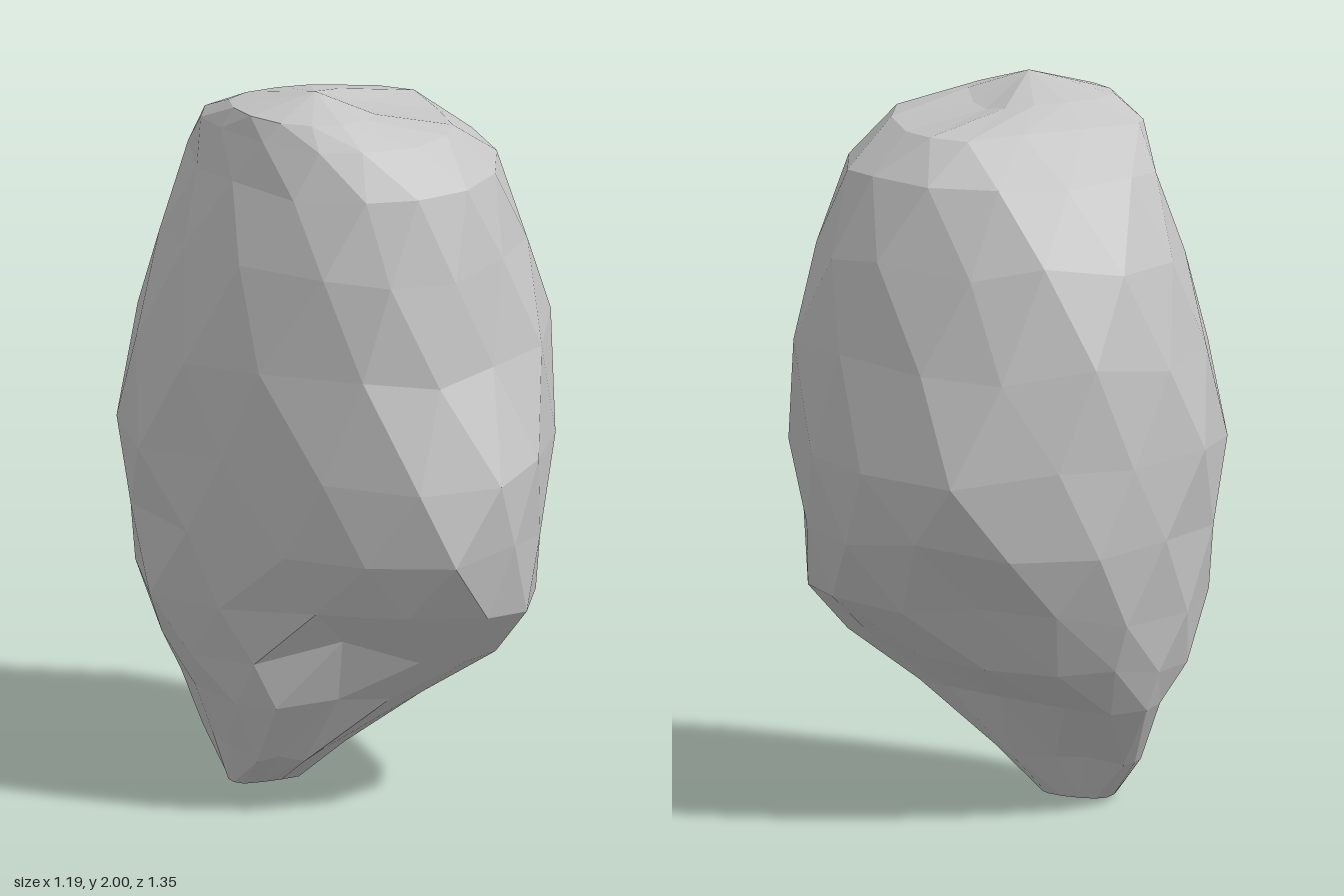
import * as THREE from 'three';

// cross-sections from foot to crown: height, then the reach from the axis
// towards +x, +x+z, +z, -x+z, -x, -x-z, -z, +x-z
const RINGS = [
  [0.01, -0.11, -0.12, -0.03, 0.19, 0.32, 0.33, 0.24, 0.03],
  [0.13, 0.01, 0.02, 0.17, 0.32, 0.36, 0.42, 0.34, 0.10],
  [0.30, 0.14, 0.27, 0.30, 0.41, 0.43, 0.51, 0.50, 0.25],
  [0.42, 0.29, 0.46, 0.43, 0.45, 0.49, 0.57, 0.56, 0.43],
  [0.58, 0.49, 0.56, 0.60, 0.49, 0.56, 0.61, 0.62, 0.57],
  [0.78, 0.56, 0.58, 0.68, 0.53, 0.58, 0.64, 0.67, 0.67],
  [1.00, 0.59, 0.60, 0.685, 0.54, 0.595, 0.67, 0.67, 0.68],
  [1.28, 0.585, 0.57, 0.60, 0.54, 0.565, 0.63, 0.665, 0.61],
  [1.55, 0.53, 0.49, 0.56, 0.51, 0.48, 0.57, 0.595, 0.55],
  [1.77, 0.43, 0.43, 0.50, 0.44, 0.41, 0.48, 0.47, 0.47],
  [1.89, 0.28, 0.32, 0.37, 0.38, 0.37, 0.41, 0.28, 0.35],
  [1.95, 0.04, 0.13, 0.26, 0.33, 0.34, 0.30, 0.16, 0.10],
];
const SIDES = 14;
const CORE = new THREE.Vector3(0, 1, 0);
// hollows: x, y, z, radius, depth
const HOLLOWS = [
  [0.37, 0.62, -0.50, 0.17, 0.11],
  [-0.17, 0.48, 0.45, 0.18, 0.10],
  [0.20, 1.33, 0.50, 0.20, 0.06],
  [0.12, 1.88, 0.02, 0.15, 0.05],
];

function seeded(seed) {
  return () => {
    seed = (seed * 16807) % 2147483647;
    return seed / 2147483647 - 0.5;
  };
}

// closed outline that just touches the eight reach lines of one cross-section
function outline([y, ...reach]) {
  const corner = (i) => {
    const t = (i * Math.PI) / 4;
    const a = reach[i % 8], b = reach[(i + 1) % 8];
    const side = Math.SQRT2 * b - a;
    return new THREE.Vector3(
      a * Math.cos(t) - side * Math.sin(t), y, a * Math.sin(t) + side * Math.cos(t)
    );
  };
  const touches = reach.map((_, i) => corner(i + 7).lerp(corner(i), 0.5));
  return new THREE.CatmullRomCurve3(touches, true);
}

function rockGeometry() {
  const rand = seeded(4217);
  const positions = [];
  const index = [];

  RINGS.forEach((ring, i) => {
    const curve = outline(ring);
    const inner = i > 0 && i < RINGS.length - 1;
    const gap = inner ? RINGS[i + 1][0] - ring[0] : 0;
    for (let j = 0; j < SIDES; j++) {
      // alternate rings are turned by half a side to give irregular facets
      const u = (j + (i % 2) * 0.5 + (inner ? rand() * 0.25 : 0)) / SIDES;
      const p = curve.getPoint((u + 1) % 1);
      p.y += rand() * gap * 0.2;
      for (const [x, y, z, radius, depth] of HOLLOWS) {
        const d = p.distanceTo(new THREE.Vector3(x, y, z)) / radius;
        const inward = CORE.clone().sub(p).normalize();
        p.addScaledVector(inward, depth * Math.exp(-d * d));
      }
      positions.push(p.x, p.y, p.z);
    }
  });

  // skin between neighbouring rings
  const at = (i, j) => i * SIDES + (j % SIDES);
  for (let i = 0; i < RINGS.length - 1; i++) {
    for (let j = 0; j < SIDES; j++) {
      const a = at(i, j), b = at(i, j + 1), c = at(i + 1, j), d = at(i + 1, j + 1);
      if (i % 2 === 0) index.push(a, c, b, b, c, d);
      else index.push(a, d, b, a, c, d);
    }
  }

  // foot and crown caps
  const foot = positions.length / 3;
  positions.push(-0.2, 0, -0.11, -0.14, 2, 0.08);
  const last = RINGS.length - 1;
  for (let j = 0; j < SIDES; j++) {
    index.push(foot, at(0, j), at(0, j + 1));
    index.push(foot + 1, at(last, j + 1), at(last, j));
  }

  const geometry = new THREE.BufferGeometry();
  geometry.setAttribute('position', new THREE.Float32BufferAttribute(positions, 3));
  geometry.setIndex(index);
  const faceted = geometry.toNonIndexed();
  faceted.computeVertexNormals();
  return faceted;
}

export function createModel() {
  const group = new THREE.Group();
  group.name = 'boulder';
  const stone = new THREE.MeshStandardMaterial({ color: 0xc6c6c6 });
  stone.name = 'stone grey';
  const rock = new THREE.Mesh(rockGeometry(), stone);
  rock.name = 'rock';
  group.add(rock);
  return group;
}
